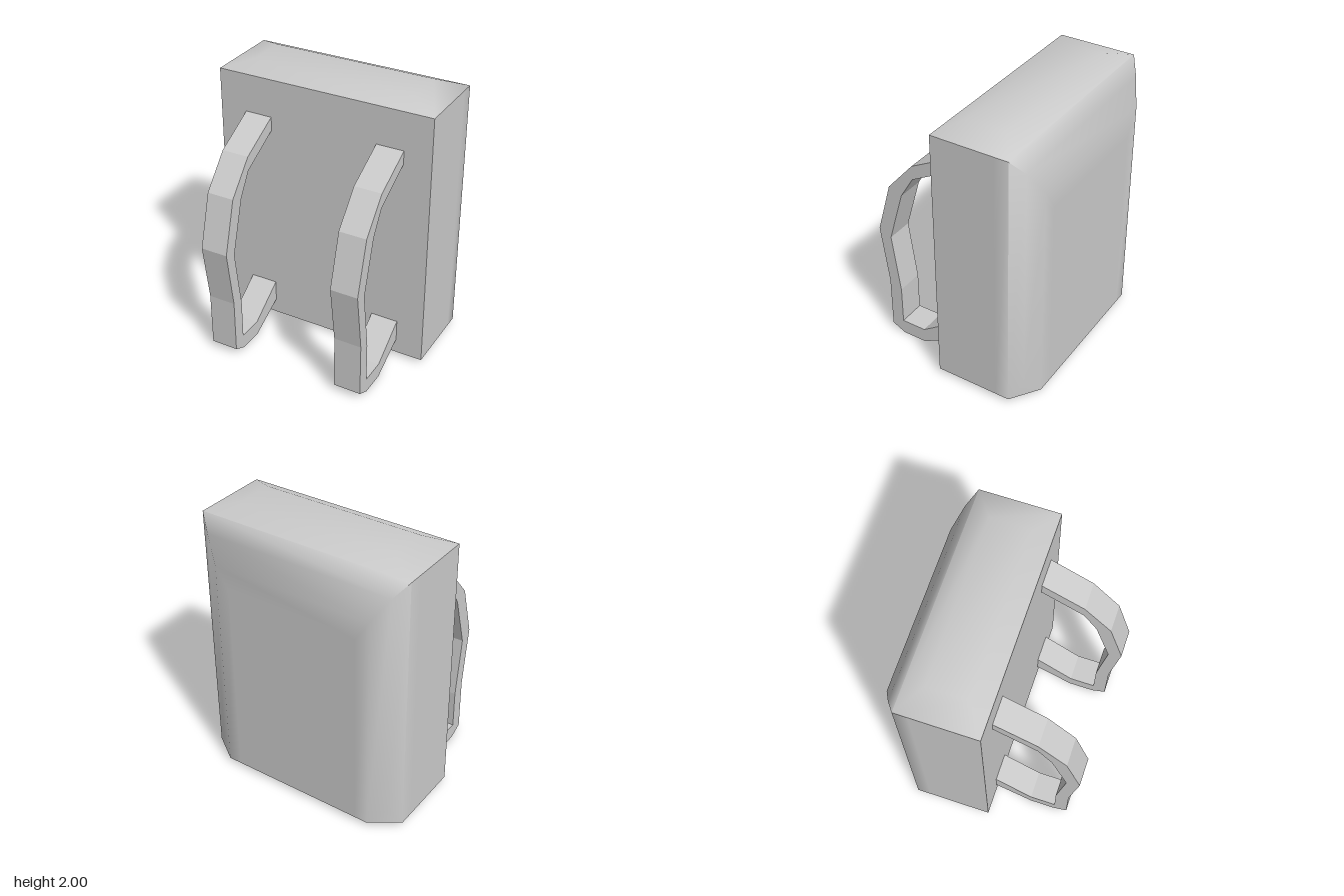
import * as THREE from 'three';
import { toCreasedNormals } from 'three/addons/utils/BufferGeometryUtils.js';

// Left-hand corner points of the bag (mirrored to the right); 0 = bottom, 1 = top
const P = {
  F0: [0.8, 0.03, 0.045], F1: [0.8, 1.94, 0.045],   // front edge
  E0: [0.8, 0.03, -0.42], E1: [0.8, 1.94, -0.42],   // end of flat side
  A0: [0.8, 0.03, -0.52], A1: [0.8, 1.94, -0.52],   // start of rounded back
  B0: [0.71, 0.14, -0.59], B1: [0.71, 1.83, -0.59], // middle of rounding
  C0: [0.6, 0.03, -0.66], C1: [0.6, 1.66, -0.66],   // back panel edge
  D0: [0.5, 0.03, -0.66], D1: [0.5, 1.5, -0.66],    // flat part of back panel
  T0: [0.6, 2, -0.09], T1: [0.6, 2, -0.38],         // raised top panel
};
const mirror = ([x, y, z]) => [-x, y, z];

function bagGeometry() {
  const pos = [];
  const face = (pts) => {
    for (let i = 1; i < pts.length - 1; i++) pos.push(...pts[0], ...pts[i], ...pts[i + 1]);
  };

  // Panels spanning the full width: front, top, back, underside
  for (const chain of ['F0 F1 T0 T1 A1 B1 C1 D1 D0', 'C0 A0 F0']) {
    const names = chain.split(' ');
    for (let i = 0; i < names.length - 1; i++) {
      const a = P[names[i]], b = P[names[i + 1]];
      face([a, b, mirror(b), mirror(a)]);
    }
  }

  // Side panels, rounded corners and the small notch below them
  const sides = ['F0 E0 E1 F1', 'E0 A0 A1 E1', 'F1 A1 T1 T0', 'A0 B0 B1 A1',
    'B0 C0 C1 B1', 'C0 D0 D1 C1', 'A0 C0 B0'];
  for (const side of sides) {
    const pts = side.split(' ').map((n) => P[n]);
    face(pts);
    face(pts.map(mirror).reverse());
  }

  const geo = new THREE.BufferGeometry();
  geo.setAttribute('position', new THREE.Float32BufferAttribute(pos, 3));
  return toCreasedNormals(geo, 1.05);
}

function strapGeometry() {
  // Side outline as [z, y]: outer edge going down, then inner edge going up
  const outline = [
    [0.03, 1.67], [0.35, 1.5], [0.55, 1.27], [0.66, 0.885], [0.6, 0.45],
    [0.6, 0.05], [0.5, 0], [0.32, 0], [0.03, 0.15],
    [0.03, 0.31], [0.32, 0.11], [0.505, 0.11], [0.505, 0.4],
    [0.565, 0.84], [0.45, 1.23], [0.35, 1.395], [0.03, 1.57],
  ];
  const shape = new THREE.Shape(outline.map(([z, y]) => new THREE.Vector2(z, y)));
  const geo = new THREE.ExtrudeGeometry(shape, { depth: 0.2, bevelEnabled: false });
  return geo.translate(0, 0, -0.1).rotateY(-Math.PI / 2);
}

export function createModel() {
  const group = new THREE.Group();
  group.name = 'backpack';

  const bag = new THREE.Mesh(bagGeometry(), new THREE.MeshStandardMaterial({ color: 0xcccccc }));
  bag.name = 'bag';
  group.add(bag);

  // Two shoulder straps on the front
  const strapMaterial = new THREE.MeshStandardMaterial({ color: 0xcccccc, flatShading: true });
  const strapGeo = strapGeometry();
  for (const [name, x] of [['leftStrap', 0.5], ['rightStrap', -0.5]]) {
    const strap = new THREE.Mesh(strapGeo, strapMaterial);
    strap.name = name;
    strap.position.x = x;
    group.add(strap);
  }
  return group;
}
